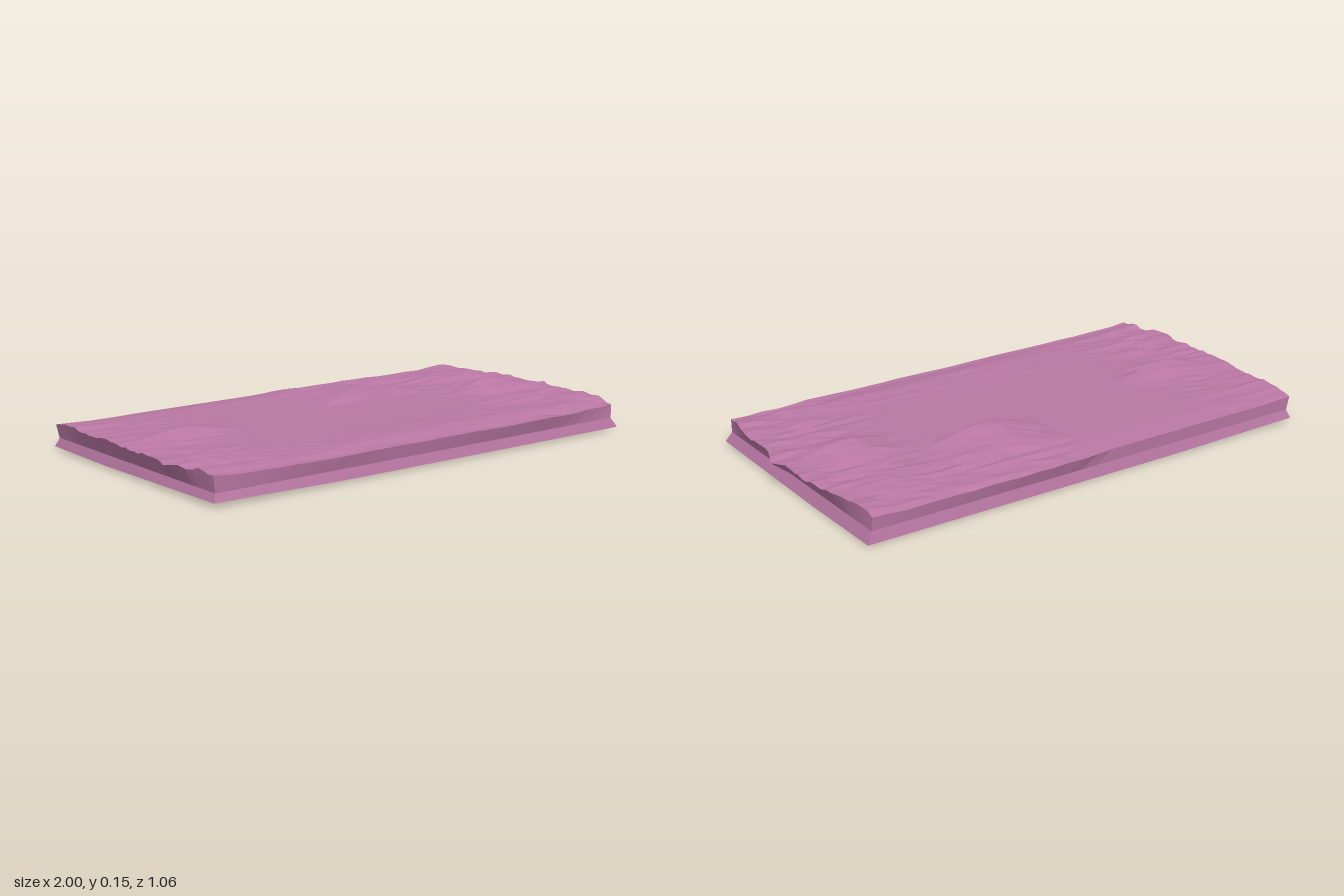
import * as THREE from 'three';

const NX = 28, NZ = 38;
const clamp = THREE.MathUtils.clamp;
const smooth = (a, b, v) => THREE.MathUtils.smoothstep(v, a, b);

// piecewise-linear lookup through [position, value] pairs
function along(points, t) {
  for (let i = 1; i < points.length; i++) {
    const [a, va] = points[i - 1], [b, vb] = points[i];
    if (t <= b) return va + (vb - va) * clamp((t - a) / (b - a), 0, 1);
  }
  return points[points.length - 1][1];
}

// repeatable noise per grid corner
function hash(i, j) {
  const s = Math.sin(i * 127.1 + j * 311.7) * 43758.5453;
  return s - Math.floor(s);
}

// wavy outline of the top rim
const leftRim = [[-0.52, -0.95], [-0.3, -0.965], [-0.15, -0.97], [0, -0.98], [0.15, -0.98], [0.2, -0.97], [0.3, -1], [0.4, -0.955], [0.52, -0.945]];
const rightRim = [[-0.52, 0.92], [-0.4, 0.93], [-0.3, 0.95], [-0.15, 0.98], [0, 0.97], [0.05, 1], [0.15, 0.96], [0.32, 0.965], [0.42, 0.945], [0.52, 0.925]];
const backRim = [[-0.95, -0.512], [-0.05, -0.515], [0.04, -0.53], [0.5, -0.522], [0.92, -0.515]];
const frontRim = [[-0.95, 0.515], [-0.4, 0.525], [-0.1, 0.522], [0.6, 0.53], [0.92, 0.512]];

// ridge with a steep face towards +z and a long slope behind it
function ridge(x, z, cx, cz, halfX, back, front, height) {
  const fx = 1 - smooth(0, halfX, Math.abs(x - cx));
  const d = z - cz;
  const fz = d > 0 ? 1 - clamp(d / front, 0, 1) : 1 - smooth(0, back, -d);
  return height * fx * fz;
}

function topHeight(x, z, i, j) {
  // broad base: level plain, lower along the front and back rims
  let y = 0.104 - 0.012 * smooth(0.43, 0.52, z) - 0.012 * smooth(0.41, 0.53, -z);
  y += 0.008 * smooth(0.75, 1, Math.abs(x));
  y += 0.006 * smooth(0.25, 0.42, z) * smooth(-0.8, 0, x) * (1 - smooth(0.42, 0.47, z));
  y += ridge(x, z, 0.25, -0.14, 0.27, 0.32, 0.03, 0.05);
  y += ridge(x, z, 0.73, 0.0, 0.22, 0.16, 0.1, 0.04);
  y += ridge(x, z, 0.72, -0.25, 0.26, 0.14, 0.06, 0.02);
  y += ridge(x, z, -0.7, -0.02, 0.26, 0.16, 0.04, 0.034);
  y += ridge(x, z, -0.78, 0.33, 0.24, 0.15, 0.04, 0.012);
  // broken strata at both ends, behind the main ridge and along the front
  const right = smooth(0.42, 0.65, x);
  const left = smooth(0.5, 0.75, -x) * (z < -0.35 ? 0.3 : 0.8);
  const behind = smooth(-0.03, 0.1, x) * smooth(0.14, 0.22, -z) * 0.8;
  const frontEdge = smooth(0.24, 0.34, z) * 0.35;
  const rough = Math.max(right, left, behind, frontEdge);
  const n = 0.65 * hash(Math.floor(i / 3), j) + 0.35 * hash(i + 50, j);
  return y + rough * (n - 0.5) * 0.02;
}

// the three nested levels of the slab: rugged top, inset waist, shallow keel
function topPoint(i, j) {
  const u = i / NX, v = j / NZ;
  const zGuess = -0.52 + 1.04 * v;
  const x = THREE.MathUtils.lerp(along(leftRim, zGuess), along(rightRim, zGuess), u);
  const z = THREE.MathUtils.lerp(along(backRim, x), along(frontRim, x), v);
  return [x, topHeight(x, z, i, j), z];
}

function waistPoint(i, j) {
  return [-0.937 + 1.86 * i / NX, 0.045, -0.512 + 1.026 * j / NZ];
}

function bottomPoint(i, j) {
  const x = -0.95 + 1.895 * i / NX, z = -0.525 + 1.053 * j / NZ;
  const y = 0.008 * smooth(0.3, 0.95, -x) + 0.008 * Math.max(0, (z + 0.15) / 0.68) + 0.004 * Math.max(0, (-0.15 - z) / 0.38);
  return [x, y, z];
}

function facetedMesh(name, quads, material) {
  const positions = [];
  for (const [a, b, c, d] of quads) positions.push(...a, ...b, ...c, ...a, ...c, ...d);
  const geometry = new THREE.BufferGeometry();
  geometry.setAttribute('position', new THREE.Float32BufferAttribute(positions, 3));
  geometry.computeVertexNormals();
  const mesh = new THREE.Mesh(geometry, material);
  mesh.name = name;
  return mesh;
}

export function createModel() {
  const group = new THREE.Group();
  group.name = 'rockSlab';
  const material = new THREE.MeshStandardMaterial({ color: 0xb877a3, flatShading: true });

  // rugged upper surface and smooth underside
  const top = [], bottom = [];
  for (let i = 0; i < NX; i++) {
    for (let j = 0; j < NZ; j++) {
      top.push([topPoint(i, j), topPoint(i, j + 1), topPoint(i + 1, j + 1), topPoint(i + 1, j)]);
      bottom.push([bottomPoint(i, j), bottomPoint(i + 1, j), bottomPoint(i + 1, j + 1), bottomPoint(i, j + 1)]);
    }
  }

  // walk once around the rim, front edge first
  const rim = [];
  for (let i = 0; i < NX; i++) rim.push([i, NZ]);
  for (let j = NZ; j > 0; j--) rim.push([NX, j]);
  for (let i = NX; i > 0; i--) rim.push([i, 0]);
  for (let j = 0; j < NZ; j++) rim.push([0, j]);

  // pinched side walls
  const walls = [];
  rim.forEach((p, k) => {
    const q = rim[(k + 1) % rim.length];
    walls.push([waistPoint(...p), waistPoint(...q), topPoint(...q), topPoint(...p)]);
    walls.push([bottomPoint(...p), bottomPoint(...q), waistPoint(...q), waistPoint(...p)]);
  });

  group.add(
    facetedMesh('ruggedTop', top, material),
    facetedMesh('sideWalls', walls, material),
    facetedMesh('underside', bottom, material)
  );
  return group;
}
